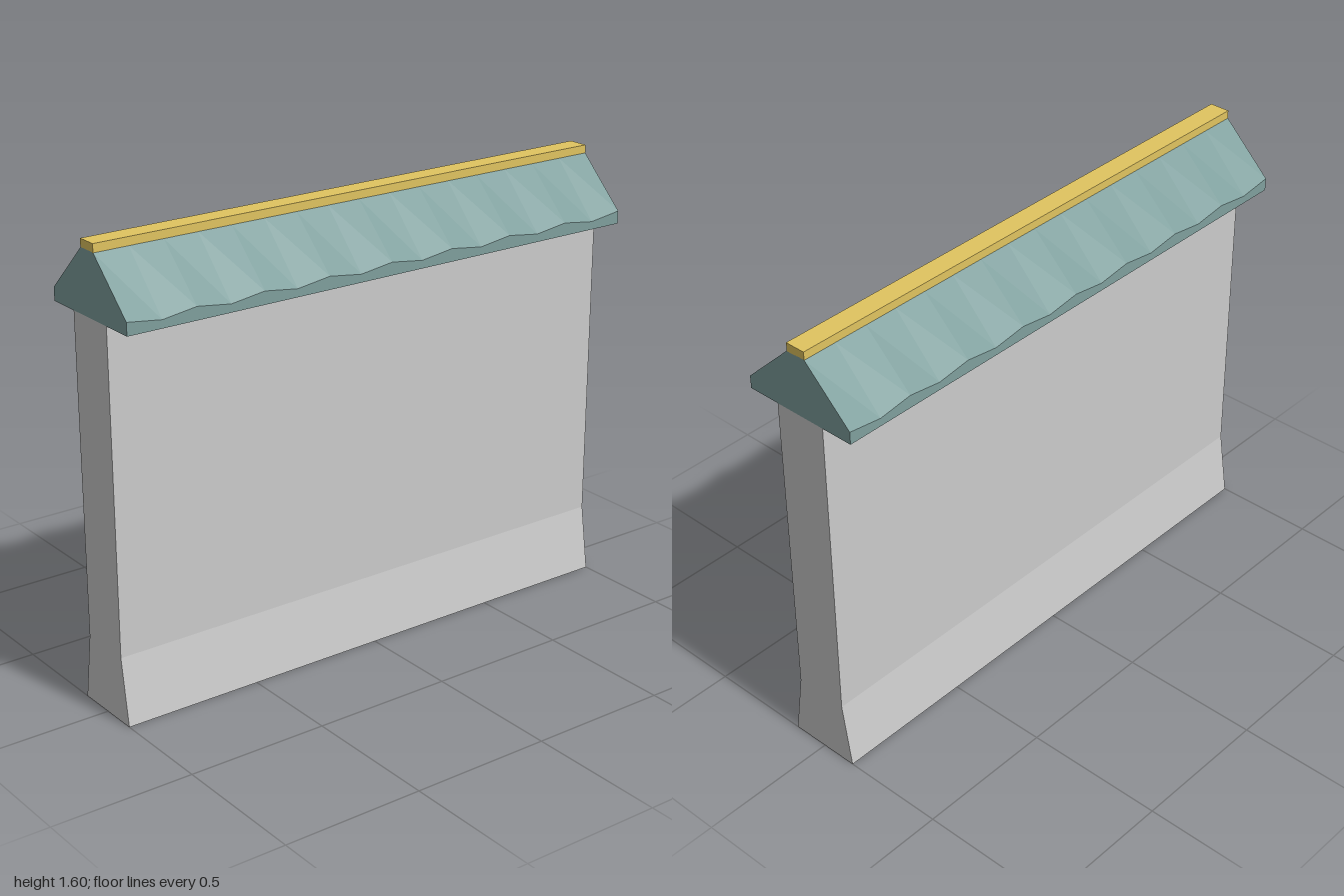
import * as THREE from 'three';

const material = (color) => new THREE.MeshStandardMaterial({ color, flatShading: true, side: THREE.DoubleSide });

// Skins a list of closed cross-sections along x; each section is an array of [z, y] points.
// Points run front -> top -> back, so faces look outward.
function loft(sections, xs, { skipEdges = [], capTriangles }) {
  const n = sections[0].length;
  const positions = sections.flatMap((s, i) => s.flatMap(([z, y]) => [xs[i], y, z]));
  const index = [];
  for (let i = 0; i < sections.length - 1; i++) {
    for (let j = 0; j < n; j++) {
      if (skipEdges.includes(j)) continue;
      const k = (j + 1) % n;
      const a = i * n + j, b = i * n + k, c = a + n, d = b + n;
      // Diagonals are mirrored by half a turn between the two sides
      index.push(a, c, b, b, c, d);
    }
  }
  const last = (sections.length - 1) * n;
  for (const [a, b, c] of capTriangles) {
    index.push(a, b, c, last + a, last + c, last + b);
  }
  const geometry = new THREE.BufferGeometry();
  geometry.setAttribute('position', new THREE.Float32BufferAttribute(positions, 3));
  geometry.setIndex(index);
  const flat = geometry.toNonIndexed();
  flat.computeVertexNormals();
  return flat;
}

// Triangle fan closing a convex or star-shaped section
const fan = (n) => Array.from({ length: n - 2 }, (_, i) => [0, i + 1, i + 2]);

export function createModel() {
  const group = new THREE.Group();
  const add = (name, geometry, color) => {
    const mesh = new THREE.Mesh(geometry, material(color));
    mesh.name = name;
    group.add(mesh);
    return mesh;
  };

  // Wall with a flared foot, hollow and open at the bottom
  const wallSection = [
    [0.132, 0], [0.097, 0.235], [0.097, 1.355],
    [-0.097, 1.355], [-0.097, 0.235], [-0.132, 0],
  ];
  add('wall', loft([wallSection, wallSection], [-1, 1], {
    skipEdges: [5],
    capTriangles: [[0, 1, 4], [0, 4, 5], [1, 2, 3], [1, 3, 4]],
  }), 0xcccccc);

  // Pitched roof whose eave edge rises and falls along the length
  const steps = 16, xs = [], roofSections = [];
  for (let i = 0; i <= steps; i++) {
    const eave = i % 2 ? 1.383 : 1.4;
    xs.push(-1 + (2 * i) / steps);
    roofSections.push([
      [0.215, 1.355], [0.215, eave], [0.036, 1.572],
      [-0.036, 1.572], [-0.215, eave], [-0.215, 1.355],
    ]);
  }
  add('roof', loft(roofSections, xs, { capTriangles: fan(6) }), 0x7f9f9d);

  // Ridge cap
  const ridge = add('ridgeCap', new THREE.BoxGeometry(2, 0.03, 0.074), 0xe0c460);
  ridge.position.y = 1.585;

  return group;
}
